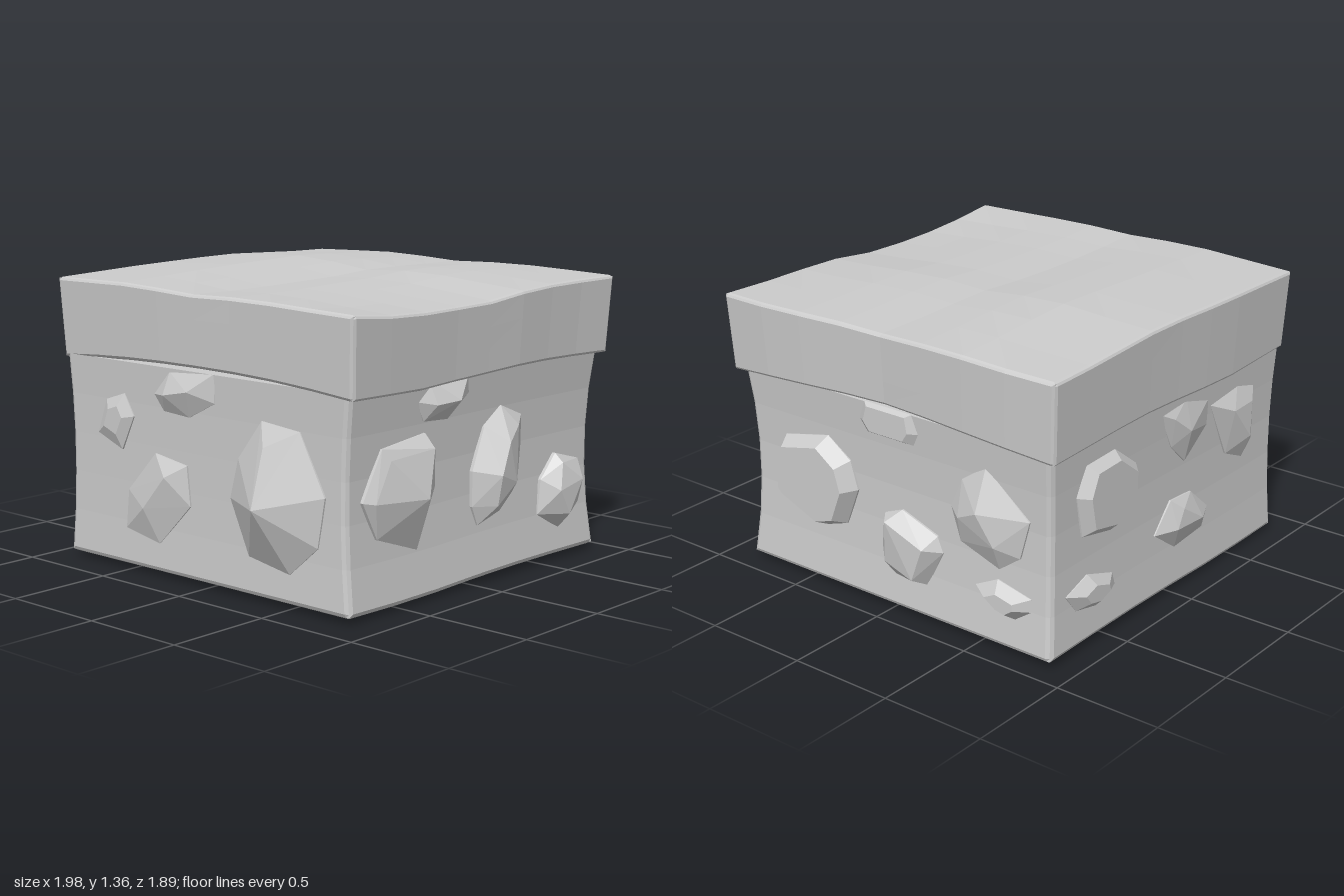
import * as THREE from 'three';
import { ConvexGeometry } from 'three/addons/geometries/ConvexGeometry.js';

const material = new THREE.MeshStandardMaterial({ color: 0xcccccc, flatShading: true });

// Piecewise-linear lookup through [position, value] knots
function along(knots, t) {
  if (t <= knots[0][0]) return knots[0][1];
  for (let i = 1; i < knots.length; i++) {
    const [a, va] = knots[i - 1], [b, vb] = knots[i];
    if (t <= b) return va + (vb - va) * (t - a) / (b - a);
  }
  return knots[knots.length - 1][1];
}

// Unit box with bevelled edges, each vertex (-1..1 per axis) placed by a rule
function warpedBox(name, segs, bevel, rule) {
  const g = new THREE.BoxGeometry(2, 2, 2, ...segs);
  const p = g.attributes.position;
  for (let i = 0; i < p.count; i++) {
    const raw = [p.getX(i), p.getY(i), p.getZ(i)];
    const onEdge = raw.filter(v => Math.abs(v) > 0.999).length > 1;
    const c = raw.map((v, k) => {
      const b = bevel[k], inner = 1 - 2 / segs[k];
      if (Math.abs(v) > 0.999) return Math.sign(v) * (onEdge ? 1 - b * 0.35 : 1);
      return v / inner * (1 - b);
    });
    p.setXYZ(i, ...rule(...c));
  }
  g.computeVertexNormals();
  const m = new THREE.Mesh(g, material);
  m.name = name;
  return m;
}

// Wavy outlines of the lid, seen from above
const lidLeft = [[-0.93, -0.865], [-0.3, -0.9], [0, -0.905], [0.4, -0.9], [0.92, -0.905]];
const lidRight = [[-0.93, 0.965], [-0.6, 0.985], [0, 0.957], [0.55, 0.99], [0.92, 0.965]];
const lidFront = [[-0.9, 0.925], [-0.7, 0.92], [-0.1, 0.893], [0.2, 0.905], [0.65, 0.885], [0.96, 0.9]];
const lidBack = [[-0.87, -0.928], [-0.3, -0.945], [0.1, -0.938], [0.96, -0.952]];
const topFront = [[-0.88, 1.3], [-0.55, 1.268], [0, 1.268], [0.35, 1.305], [0.95, 1.31]];
const topBack = [[-0.88, 1.325], [-0.5, 1.345], [0, 1.36], [0.35, 1.36], [0.6, 1.34], [0.95, 1.325]];
const ridge = [[-0.93, -0.02], [-0.4, 0.025], [0, -0.005], [0.3, 0.025], [0.6, 0.01], [0.92, 0]];

function lidRule(a, b, c) {
  const x0 = a * 0.94 + 0.04, z0 = c * 0.93 - 0.015;
  const flare = 1 - 0.02 * (1 - b) / 2;
  const l = along(lidLeft, z0), r = along(lidRight, z0);
  const bk = along(lidBack, x0), f = along(lidFront, x0);
  const x = (l + (r - l) * (a + 1) / 2) * flare;
  const z = (bk + (f - bk) * (c + 1) / 2) * flare;
  const w = (c + 1) / 2;
  const top = along(topBack, x0) * (1 - w) + along(topFront, x0) * w
    + along(ridge, z0) * (1 - 0.6 * a * a);
  const bottom = 0.945 + 0.045 * (1 - c * c) * a * a
    + along([[-0.9, 0], [-0.4, -0.012], [0.35, 0.015], [0.95, 0]], x0) * Math.abs(c);
  return [x, bottom + (top - bottom) * (b + 1) / 2, z];
}

function bodyRule(a, b, c) {
  const dish = 1 - b * b;
  const x = a < 0 ? a * (0.852 - 0.012 * dish) : a * (0.912 - 0.03 * dish);
  const z = c < 0 ? c * (0.895 - 0.02 * dish) : c * (0.86 - 0.035 * dish);
  const bottom = 0.025 + 0.015 * Math.max(0, Math.cos(a * 2.2 - 0.6)) * Math.abs(c)
    + 0.01 * Math.cos(c * 3) * (1 - a * a);
  return [x, bottom + (0.99 - bottom) * (b + 1) / 2, z];
}

// Stones: outline as u,v pairs; then either a cap [scale, height] or peaks as u,v,height
const frontStones = [
  { outline: [-0.75, 0.5, -0.63, 0.71, -0.35, 0.74, -0.28, 0.5, -0.4, 0.24, -0.66, 0.33],
    peaks: [-0.7, 0.49, 0.035, -0.6, 0.66, 0.03, -0.35, 0.68, 0.06, -0.43, 0.48, 0.1] },
  { outline: [-0.02, 0.52, 0.06, 0.71, 0.18, 0.79, 0.33, 0.73, 0.33, 0.6, 0.27, 0.38, 0.18, 0.31, 0.02, 0.27, -0.02, 0.36],
    peaks: [0.07, 0.5, 0.105, 0.13, 0.64, 0.1, 0.24, 0.7, 0.06, 0.07, 0.36, 0.08, 0.2, 0.45, 0.085] },
  { outline: [0.47, 0.24, 0.49, 0.4, 0.6, 0.51, 0.78, 0.46, 0.79, 0.25, 0.63, 0.15],
    peaks: [0.55, 0.35, 0.08, 0.6, 0.47, 0.05, 0.72, 0.38, 0.08, 0.62, 0.23, 0.08] },
  { outline: [-0.41, 0.88, -0.33, 0.97, -0.05, 0.97, -0.05, 0.88, -0.2, 0.78, -0.36, 0.79],
    peaks: [-0.2, 0.87, 0.08, -0.32, 0.86, 0.05] },
];
const rightStones = [
  { outline: [0.66, 0.43, 0.62, 0.68, 0.36, 0.74, 0.23, 0.65, 0.19, 0.52, 0.26, 0.34, 0.38, 0.3, 0.63, 0.4], cap: [0.82, 0.08] },
  { outline: [0.05, 0.3, 0.03, 0.46, -0.07, 0.5, -0.27, 0.43, -0.3, 0.36, -0.21, 0.18, -0.02, 0.18],
    peaks: [0, 0.25, 0.05, -0.02, 0.45, 0.07, -0.24, 0.38, 0.08, -0.18, 0.22, 0.08] },
  { outline: [0.17, 0.88, 0.14, 0.98, -0.17, 0.98, -0.19, 0.88, -0.15, 0.82, 0.12, 0.82], cap: [0.7, 0.04] },
  { outline: [-0.35, 0.6, -0.41, 0.74, -0.54, 0.83, -0.77, 0.64, -0.72, 0.46, -0.61, 0.38, -0.4, 0.45],
    peaks: [-0.54, 0.64, 0.08, -0.42, 0.58, 0.05, -0.62, 0.5, 0.06] },
  { outline: [-0.48, 0.27, -0.6, 0.33, -0.78, 0.29, -0.78, 0.23, -0.7, 0.17, -0.6, 0.19], cap: [0.5, 0.06] },
];
const backStones = [
  { outline: [0.72, 0.72, 0.68, 0.53, 0.48, 0.49, 0.3, 0.58, 0.3, 0.74, 0.46, 0.86, 0.66, 0.85], cap: [0.78, 0.05] },
  { outline: [0.12, 0.9, -0.08, 0.92, -0.26, 0.86, -0.25, 0.74, -0.08, 0.62, 0.03, 0.72],
    peaks: [-0.06, 0.78, 0.05, 0.04, 0.86, 0.03] },
  { outline: [-0.28, 0.82, -0.5, 0.85, -0.64, 0.81, -0.64, 0.55, -0.56, 0.48, -0.42, 0.54],
    peaks: [-0.42, 0.76, 0.05, -0.55, 0.6, 0.055, -0.58, 0.76, 0.04] },
  { outline: [0.79, 0.29, 0.64, 0.34, 0.46, 0.28, 0.44, 0.22, 0.58, 0.17, 0.72, 0.2], cap: [0.5, 0.045] },
  { outline: [0.14, 0.33, 0.02, 0.46, -0.14, 0.45, -0.28, 0.33, -0.24, 0.24, -0.02, 0.22],
    peaks: [0.02, 0.33, 0.05, -0.18, 0.32, 0.05, -0.04, 0.41, 0.04] },
];
const leftStones = [
  { outline: [0.17, 0.44, 0.22, 0.62, 0.36, 0.8, 0.58, 0.78, 0.72, 0.52, 0.68, 0.3, 0.52, 0.16, 0.28, 0.2],
    peaks: [0.44, 0.45, 0.155, 0.42, 0.7, 0.06] },
  { outline: [-0.5, 0.2, -0.48, 0.38, -0.3, 0.57, -0.1, 0.54, -0.08, 0.36, -0.28, 0.16],
    peaks: [-0.34, 0.32, 0.05, -0.2, 0.48, 0.05] },
  { outline: [-0.3, 0.84, -0.2, 0.95, 0.08, 0.97, 0.08, 0.84, -0.08, 0.76, -0.24, 0.77],
    peaks: [-0.2, 0.85, 0.05, -0.05, 0.88, 0.05] },
  { outline: [-0.68, 0.62, -0.62, 0.78, -0.5, 0.82, -0.44, 0.72, -0.52, 0.56], cap: [0.5, 0.03] },
];
const bottomStones = [
  { outline: [-0.62, 0.46, -0.56, 0.56, -0.44, 0.53, -0.35, 0.42, -0.42, 0.33, -0.55, 0.36], cap: [0.5, 0.035] },
];

function stone({ outline, cap, peaks }, place) {
  const pts = [], n = outline.length / 2;
  let cu = 0, cv = 0;
  for (let i = 0; i < n; i++) { cu += outline[2 * i] / n; cv += outline[2 * i + 1] / n; }
  for (let i = 0; i < n; i++) {
    const u = outline[2 * i], v = outline[2 * i + 1];
    pts.push(place(u, v, -0.04), place(u, v, 0.004));
    if (cap) pts.push(place(cu + (u - cu) * cap[0], cv + (v - cv) * cap[0], cap[1]));
  }
  for (let i = 0; peaks && i < peaks.length; i += 3) pts.push(place(peaks[i], peaks[i + 1], peaks[i + 2]));
  return new THREE.Mesh(new ConvexGeometry(pts), material);
}

export function createModel() {
  const model = new THREE.Group();
  model.name = 'stoneStuddedBlock';

  // Earth body and overhanging turf slab
  model.add(warpedBox('body', [8, 7, 8], [0.03, 0.05, 0.03], bodyRule));
  model.add(warpedBox('topSlab', [10, 5, 10], [0.02, 0.08, 0.02], lidRule));

  // Stones set into every side
  const V = (x, y, z) => new THREE.Vector3(x, y, z);
  const sides = [
    ['frontStones', frontStones, (u, v, d) => V(u, v, 0.838 + d)],
    ['rightStones', rightStones, (u, v, d) => V(0.888 + d, v, u)],
    ['backStones', backStones, (u, v, d) => V(u, v, -0.88 - d)],
    ['leftStones', leftStones, (u, v, d) => V(-0.845 - d, v, u)],
    ['bottomStones', bottomStones, (u, v, d) => V(u, 0.035 - d, v)],
  ];
  for (const [name, list, place] of sides) {
    const group = new THREE.Group();
    group.name = name;
    list.forEach((s, i) => {
      const m = stone(s, place);
      m.name = `stone${i + 1}`;
      group.add(m);
    });
    model.add(group);
  }
  return model;
}
